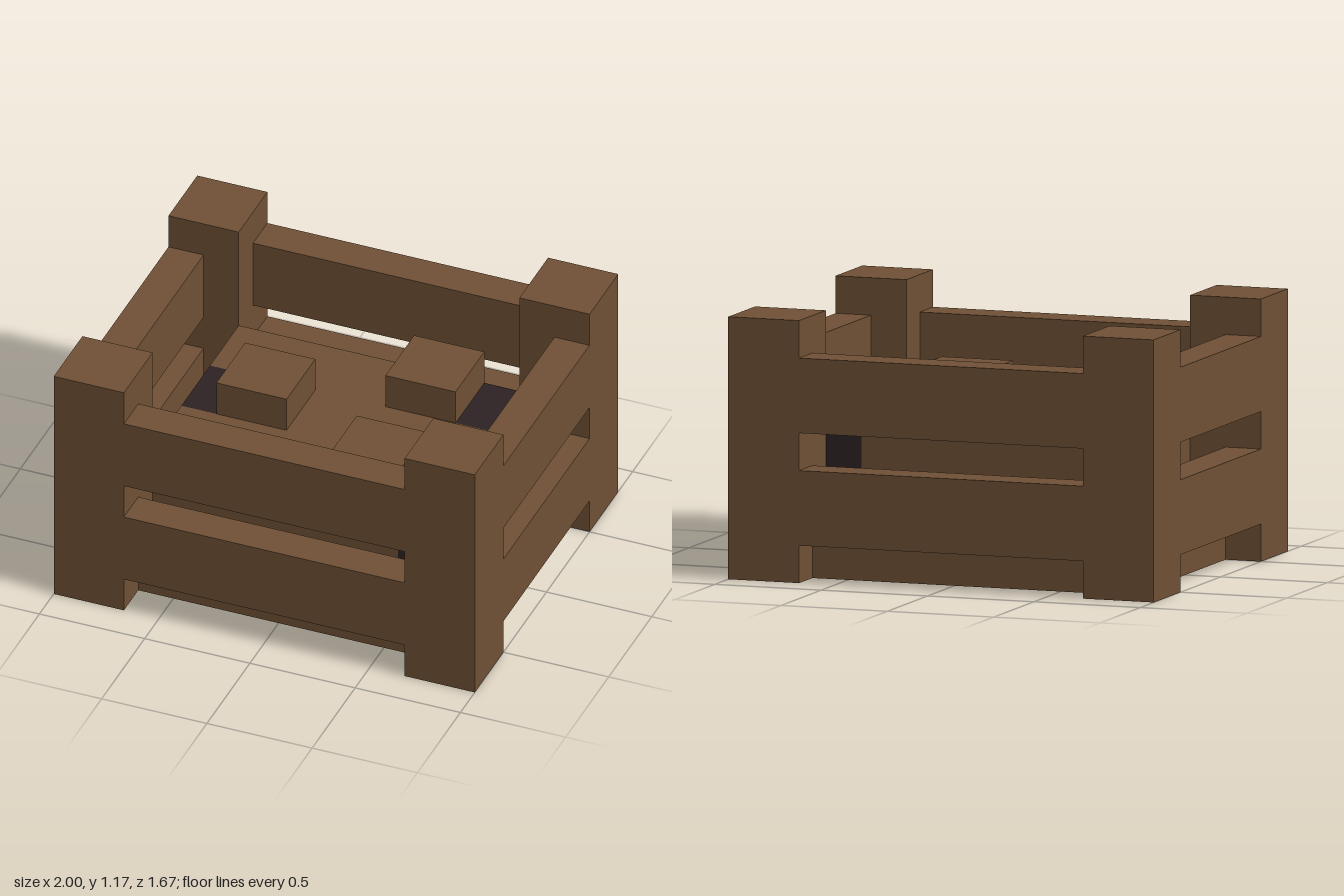
import * as THREE from 'three';

const U = 1 / 6; // one grid unit; all sizes below are in these units

export function createModel() {
  const crate = new THREE.Group();
  crate.name = 'crate';
  const wood = new THREE.MeshStandardMaterial({ color: 0x6f5035 });
  wood.name = 'brown wood';
  const dark = new THREE.MeshStandardMaterial({ color: 0x2d2223 });
  dark.name = 'dark brown';

  // Axis-aligned box given by its low and high corners
  function box(name, material, [x0, y0, z0], [x1, y1, z1]) {
    const geometry = new THREE.BoxGeometry((x1 - x0) * U, (y1 - y0) * U, (z1 - z0) * U);
    const mesh = new THREE.Mesh(geometry, material);
    mesh.position.set((x0 + x1) * U / 2, (y0 + y1) * U / 2, (z0 + z1) * U / 2);
    mesh.name = name;
    crate.add(mesh);
  }

  // Floor
  box('floor', wood, [-5, 0, -4], [5, 1, 4]);

  // Corner posts
  for (const x of [-6, 4])
    for (const z of [-5, 3]) box('cornerPost', wood, [x, 0, z], [x + 2, 7, z + 2]);

  // Two rails on every side
  for (const y of [1, 4]) {
    for (const z of [-5, 4]) box('longRail', wood, [-4, y, z], [4, y + 2, z + 1]);
    for (const x of [-6, 5]) box('shortRail', wood, [x, y, -3], [x + 1, y + 2, 3]);
  }

  // Contents: a solid lower half and a notched upper half
  box('contentsBase', wood, [-4, 1, -3], [4, 2, 3]);
  const plan = new THREE.Shape([
    [-4, -3], [3, -3], [3, -1], [4, -1], [4, 1], [3, 1],
    [3, 3], [-4, 3], [-4, 1], [-3, 1], [-3, -1], [-4, -1],
  ].map(([x, y]) => new THREE.Vector2(x * U, y * U)));
  const contents = new THREE.Mesh(
    new THREE.ExtrudeGeometry(plan, { depth: 2 * U, bevelEnabled: false }).rotateX(-Math.PI / 2),
    wood);
  contents.position.y = 2 * U;
  contents.name = 'contentsTop';
  crate.add(contents);

  // Dark ends filling the notches, each with a raised block beside it
  for (const [side, z] of [[-1, 0], [1, -2], [1, 2]]) {
    const span = (a, b) => [Math.min(side * a, side * b), Math.max(side * a, side * b)];
    const [d0, d1] = span(3, 4);
    const [b0, b1] = span(1, 3);
    box('darkEnd', dark, [d0, 2, z - 1], [d1, 4, z + 1]);
    box('raisedBlock', wood, [b0, 4, z - 1], [b1, 5, z + 1]);
  }

  return crate;
}
